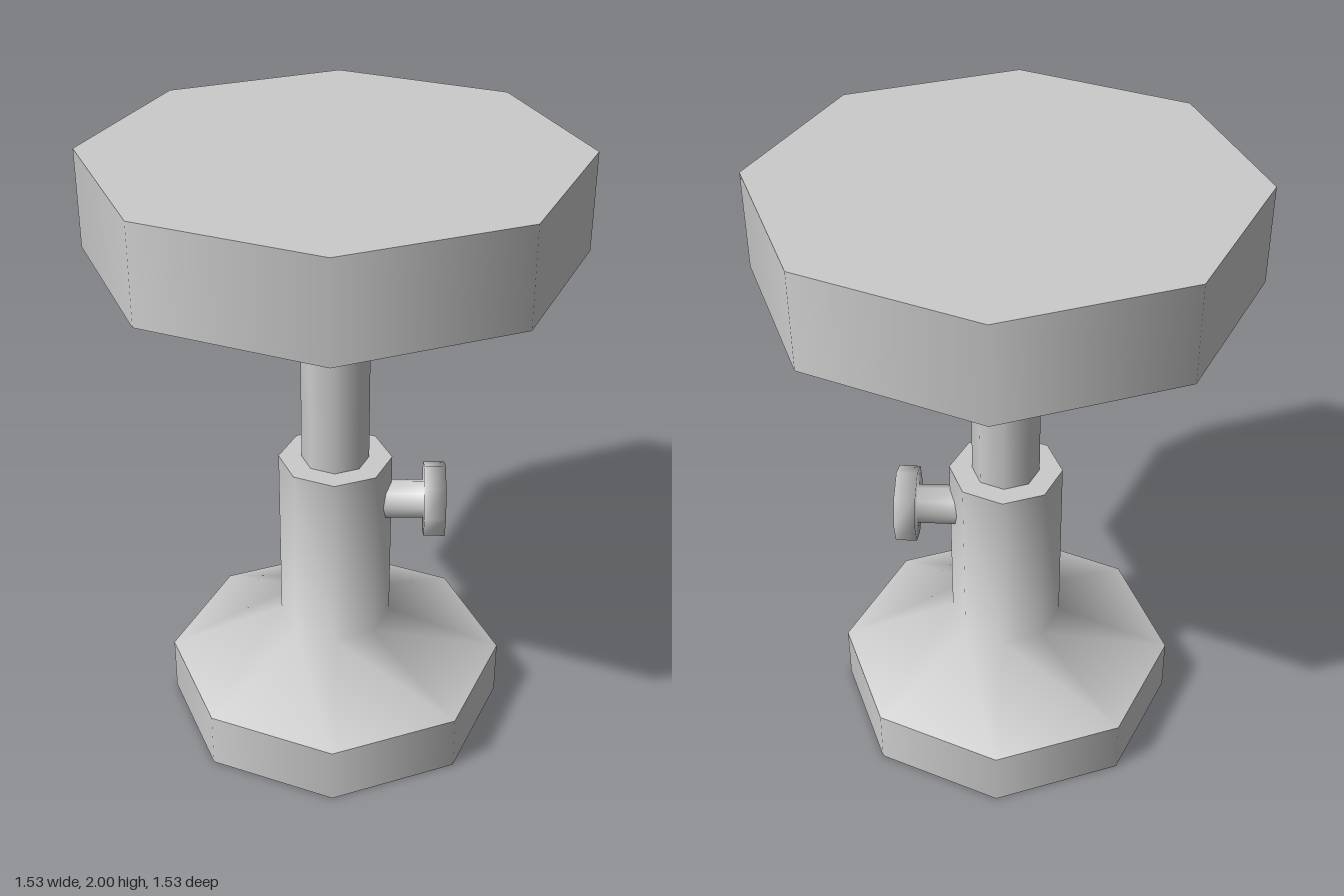
import * as THREE from 'three';
import { mergeGeometries } from 'three/addons/utils/BufferGeometryUtils.js';

const SIDES = 8;
const material = new THREE.MeshStandardMaterial({ color: 0xcccccc });

// Octagonal turned part: smooth within each [radius, height] profile, sharp between profiles
function turned(name, ...profiles) {
  const parts = profiles.map((profile) =>
    new THREE.LatheGeometry(profile.map(([r, y]) => new THREE.Vector2(r, y)), SIDES));
  const mesh = new THREE.Mesh(mergeGeometries(parts), material);
  mesh.name = name;
  return mesh;
}

export function createModel() {
  const group = new THREE.Group();
  group.name = 'stool';

  // Foot with a sloped top flowing into the sleeve
  group.add(turned('baseAndSleeve',
    [[0, 0], [0.565, 0]],
    [[0.565, 0], [0.565, 0.19]],
    [[0.565, 0.19], [0.185, 0.35], [0.185, 0.96]],
    [[0.185, 0.96], [0, 0.96]]));

  // Sliding post, running from inside the sleeve to the seat
  group.add(turned('post', [[0.11, 0.9], [0.11, 1.66]]));

  // Thick seat with a shallow conical underside
  group.add(turned('seat',
    [[0, 1.635], [0.11, 1.64], [0.765, 1.69]],
    [[0.765, 1.69], [0.765, 2]],
    [[0.765, 2], [0, 2]]));

  // Height-locking knob on the model's left, softly shaded
  const knob = turned('lockingKnob',
    [[0.065, 0.12], [0.065, 0.29], [0.125, 0.29], [0.125, 0.36], [0, 0.36]]);
  knob.rotation.z = -Math.PI / 2;
  knob.position.y = 0.8;
  group.add(knob);

  return group;
}
